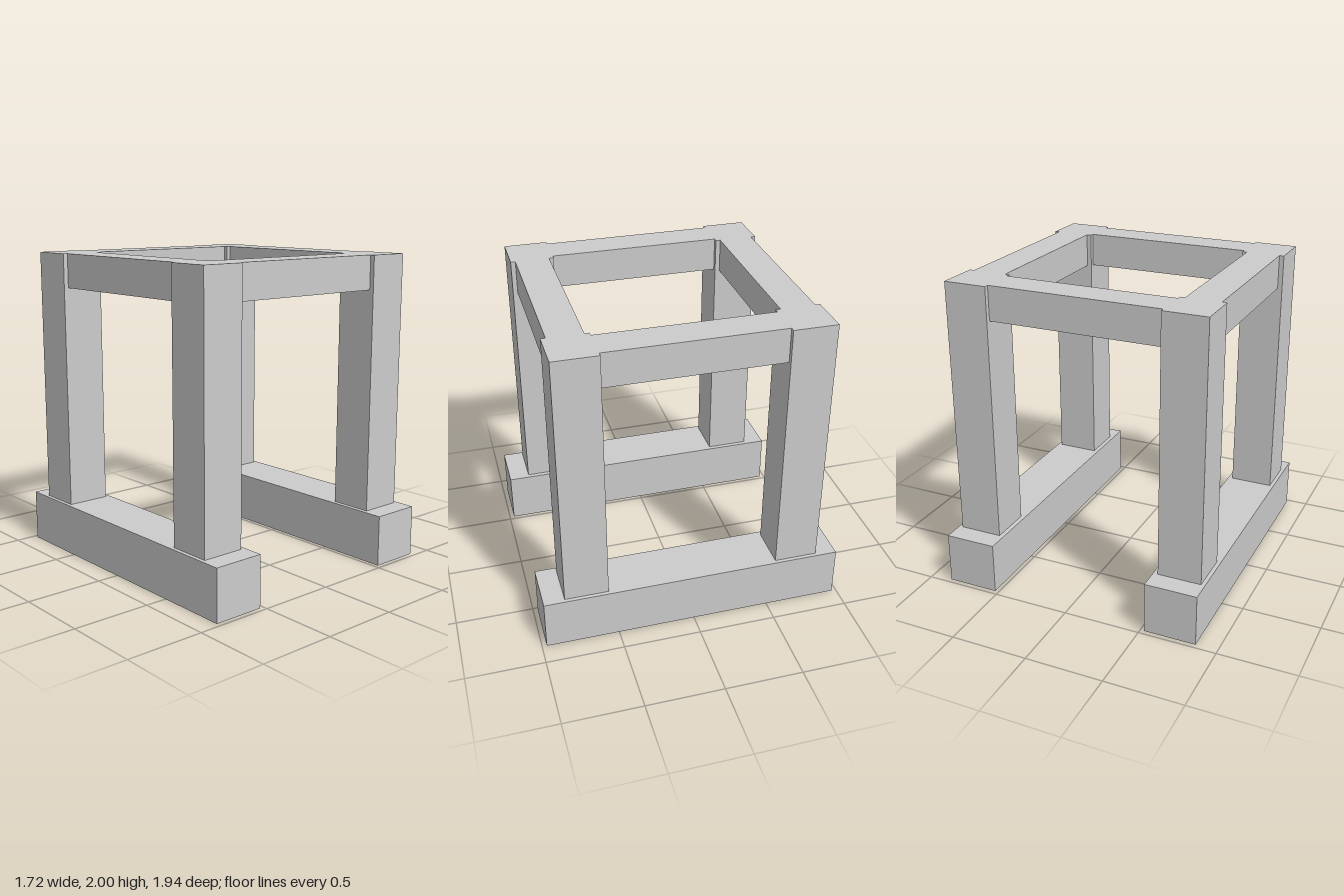
import * as THREE from 'three';
import { toCreasedNormals } from 'three/addons/utils/BufferGeometryUtils.js';

const material = new THREE.MeshStandardMaterial({ color: 0xcccccc });

const HEIGHT = 2;
const CENTRE = 0.695; // distance of post and rail axes from the middle
const POST = 0.28;
const RAIL = 0.22;
const RUNNER = { width: 0.335, height: 0.333, length: 1.94 };
const HOLE = { radius: 0.053, z: 0.78 };

function addBox(group, name, size, position) {
  const mesh = new THREE.Mesh(new THREE.BoxGeometry(...size), material);
  mesh.name = name;
  mesh.position.set(...position);
  group.add(mesh);
}

// Floor beam with a bolt hole under each post
function runnerGeometry() {
  const w = RUNNER.width / 2;
  const l = RUNNER.length / 2;
  const shape = new THREE.Shape([
    new THREE.Vector2(-w, -l),
    new THREE.Vector2(w, -l),
    new THREE.Vector2(w, l),
    new THREE.Vector2(-w, l),
  ]);
  for (const s of [-1, 1]) {
    shape.holes.push(new THREE.Path().absarc(0, s * HOLE.z, HOLE.radius, 0, Math.PI * 2, true));
  }
  const geometry = new THREE.ExtrudeGeometry(shape, {
    depth: RUNNER.height,
    bevelEnabled: false,
    curveSegments: 32,
  });
  geometry.rotateX(-Math.PI / 2);
  return toCreasedNormals(geometry, 0.6);
}

export function createModel() {
  const group = new THREE.Group();
  group.name = 'standFrame';

  const runner = runnerGeometry();
  const postHeight = HEIGHT - RUNNER.height;
  const span = 2 * CENTRE - POST; // clear distance between posts
  const railY = HEIGHT - RAIL / 2;

  for (const s of [-1, 1]) {
    const side = s > 0 ? 'left' : 'right';
    const end = s > 0 ? 'front' : 'back';

    // Floor runners
    const beam = new THREE.Mesh(runner, material);
    beam.name = `${side}Runner`;
    beam.position.x = s * 0.6925;
    group.add(beam);

    // Top rails, set in from the post faces
    addBox(group, `${side}Rail`, [RAIL, RAIL, span], [s * CENTRE, railY, 0]);
    addBox(group, `${end}Rail`, [span, RAIL, RAIL], [0, railY, s * CENTRE]);

    // Corner posts
    for (const t of [-1, 1]) {
      addBox(group, `${side}${t > 0 ? 'Front' : 'Back'}Post`, [POST, postHeight, POST],
        [s * CENTRE, RUNNER.height + postHeight / 2, t * CENTRE]);
    }
  }
  return group;
}
